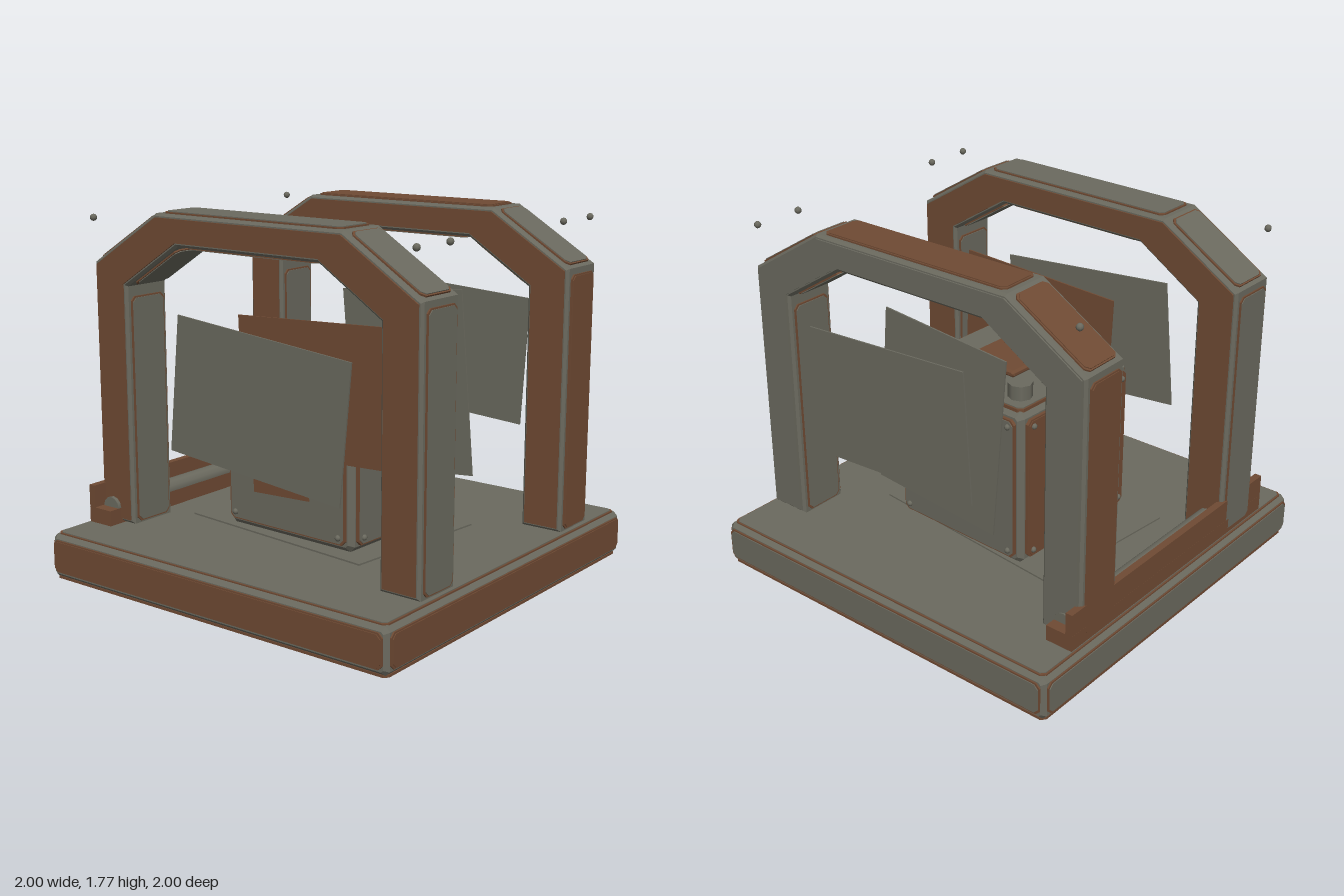
import * as THREE from 'three';

const mat = (name, color) => {
  const m = new THREE.MeshStandardMaterial({ color });
  m.name = name;
  return m;
};

export function createModel() {
  const grey = mat('grey metal', 0x6a695e);
  const brown = mat('rust brown', 0x6f4a33);
  const blue = mat('blue panel', 0x6486c4);
  const H = Math.PI / 2;
  const model = new THREE.Group();

  const add = (parent, name, geo, material, x = 0, y = 0, z = 0) => {
    const mesh = new THREE.Mesh(geo, material);
    mesh.name = name;
    mesh.position.set(x, y, z);
    parent.add(mesh);
    return mesh;
  };
  const box = (parent, name, w, h, d, material, x, y, z) =>
    add(parent, name, new THREE.BoxGeometry(w, h, d), material, x, y, z);

  // Rectangle with clipped corners
  const clipped = (w, h, c) => {
    const a = w / 2, b = h / 2;
    return new THREE.Shape([
      [a - c, -b], [a, c - b], [a, b - c], [a - c, b],
      [c - a, b], [-a, b - c], [-a, c - b], [c - a, -b],
    ].map(p => new THREE.Vector2(...p)));
  };
  const slab = (shape, depth) => new THREE.ExtrudeGeometry(shape, { depth, bevelEnabled: false });

  // Box with chamfered edges, centred
  const chamferBox = (w, h, d, c) => {
    const geo = new THREE.ExtrudeGeometry(clipped(w - 2 * c, h - 2 * c, c / 2), {
      depth: d - 2 * c, bevelThickness: c, bevelSize: c, bevelSegments: 1,
    });
    return geo.translate(0, 0, c - d / 2);
  };

  // Raised panel facing +z: brown backing with a coloured face
  const panel = (parent, name, w, h, face, pos, rot, t = 0.012) => {
    const g = new THREE.Group();
    g.name = name;
    add(g, name + 'Backing', slab(clipped(w, h, 0.02), t), brown);
    add(g, name + 'Face', slab(clipped(w - 0.015, h - 0.015, 0.02), 0.004), face, 0, 0, t);
    g.position.set(...pos);
    g.rotation.set(...rot);
    parent.add(g);
    return g;
  };

  // Base slab with a panel on every side
  const base = new THREE.Group();
  base.name = 'base';
  model.add(base);
  add(base, 'baseBody', chamferBox(1.98, 0.214, 1.98, 0.02), grey, 0, 0.117, 0);
  panel(base, 'basePanelFront', 1.94, 0.16, brown, [0, 0.12, 0.985], [0, 0, 0]);
  panel(base, 'basePanelRight', 1.94, 0.16, brown, [0.985, 0.12, 0], [0, H, 0]);
  panel(base, 'basePanelBack', 1.94, 0.16, grey, [0, 0.12, -0.985], [0, 2 * H, 0]);
  panel(base, 'basePanelLeft', 1.94, 0.16, grey, [-0.985, 0.12, 0], [0, -H, 0]);
  panel(base, 'basePanelTop', 1.94, 1.94, grey, [0, 0.218, 0], [-H, 0, 0]);
  panel(base, 'basePanelBottom', 1.96, 1.96, brown, [0, 0.016, 0], [H, 0, 0]);

  // Arch outline, narrowed all round by i
  const archShape = i => {
    const right = [
      [0.41 + 0.28 * i, 1.61 + i], [0.74 + i, 1.4 + 0.56 * i], [0.74 + i, 0.24 + i],
      [0.95 - i, 0.24 + i], [0.95 - i, 1.5 - 0.56 * i], [0.54 - 0.28 * i, 1.755 - i],
    ];
    const left = right.map(([x, y]) => [-x, y]).reverse();
    return new THREE.Shape([...right, ...left].map(p => new THREE.Vector2(...p)));
  };

  const makeArch = (name, z, turn, c) => {
    const arch = new THREE.Group();
    arch.name = name;
    const body = new THREE.ExtrudeGeometry(archShape(0.012), {
      depth: 0.236, bevelThickness: 0.012, bevelSize: 0.012, bevelSegments: 1,
    });
    add(arch, name + 'Body', body, grey, 0, 0, -0.118);
    add(arch, name + 'FrontFace', slab(archShape(0.018), 0.008), c.front, 0, 0, 0.129);
    add(arch, name + 'BackFace', slab(archShape(0.018), 0.008), c.back, 0, 0, -0.137);
    const strip = (part, len, face, x, y, a) =>
      panel(arch, part, 0.21, len, face, [x, y, 0], [0, H, a, 'ZYX'], 0.008);
    for (const s of [1, -1]) {
      const flip = a => (s > 0 ? a : Math.PI - a);
      const [side, slope] = s > 0 ? [c.right, c.rightSlope] : [c.left, c.leftSlope];
      strip('outerLegPanel', 1.22, side, s * 0.949, 0.86, flip(0));
      strip('outerSlopePanel', 0.44, slope, s * 0.745, 1.627, flip(1.02));
      strip('innerLegPanel', 1.1, grey, s * 0.741, 0.8, flip(Math.PI));
      strip('innerSlopePanel', 0.34, grey, s * 0.575, 1.506, flip(1.005 + Math.PI));
    }
    strip('topPanel', 1.03, c.top, 0, 1.754, H);
    strip('innerTopPanel', 0.76, grey, 0, 1.611, -H);
    arch.position.z = z;
    arch.rotation.y = turn;
    model.add(arch);
  };
  makeArch('frontArch', 0.565, -0.012, {
    front: brown, back: brown, right: grey, left: grey, rightSlope: grey, leftSlope: grey, top: grey,
  });
  makeArch('backArch', -0.575, 0.012, {
    front: brown, back: grey, right: brown, left: brown, rightSlope: grey, leftSlope: brown, top: brown,
  });

  // Central machine box
  const core = new THREE.Group();
  core.name = 'coreBox';
  core.rotation.y = -0.035;
  core.position.x = -0.01;
  model.add(core);
  add(core, 'coreBody', chamferBox(0.77, 0.79, 0.77, 0.025), grey, 0, 0.635, 0);
  ['Front', 'Right', 'Back', 'Left'].forEach((side, k) => {
    const g = new THREE.Group();
    g.name = 'core' + side;
    g.rotation.y = k * H;
    core.add(g);
    panel(g, 'sidePanel', 0.71, 0.72, side === 'Left' ? brown : grey, [0, 0.635, 0.383], [0, 0, 0], 0.018);
    add(g, 'bluePanel', slab(clipped(0.38, 0.27, 0.015), 0.02), blue, 0, 0.635, 0.402);
    for (const x of [-0.32, 0.32]) for (const y of [0.31, 0.96])
      add(g, 'rivet', new THREE.SphereGeometry(0.015, 8, 6), grey, x, y, 0.405);
    if (k === 0) box(g, 'frontPatch', 0.34, 0.24, 0.006, brown, -0.01, 0.57, 0.427).rotation.z = 0.05;
    if (k === 1) box(g, 'rightPatch', 0.25, 0.25, 0.006, grey, 0.01, 0.575, 0.427).rotation.z = 0.11;
  });
  panel(core, 'lidPanel', 0.73, 0.73, grey, [0, 1.025, 0], [-H, 0, 0], 0.016);
  add(core, 'topPlate', chamferBox(0.3, 0.035, 0.3, 0.01), brown, 0.01, 1.068, -0.01);
  for (const x of [-0.27, 0.28]) for (const z of [-0.26, 0.25])
    add(core, 'topKnob', new THREE.CylinderGeometry(0.058, 0.058, 0.07, 8), grey, x, 1.08, z);

  // Loose thin sheets: name, width, height, colour, x, y, z, tilt
  [
    ['frontOuterSheet', 0.99, 0.645, grey, 0.075, 0.94, 0.712, -0.097],
    ['frontInnerSheet', 0.91, 0.64, brown, 0.19, 0.98, 0.425, 0.04],
    ['backInnerSheet', 0.72, 0.92, grey, 0.07, 0.867, -0.437, 0.087],
    ['backOuterSheet', 0.93, 0.64, grey, 0.115, 1.005, -0.722, -0.06],
  ].forEach(([name, w, h, m, x, y, z, tilt]) => {
    box(model, name, w, h, 0.008, m, x, y, z).rotation.z = tilt;
  });
  box(model, 'floorSheet', 1.11, 0.008, 0.8, grey, -0.045, 0.238, 0.03).rotation.y = -0.1;

  // Rail along one side, with a pipe lying in it
  box(model, 'railWall', 0.035, 0.19, 1.53, brown, -0.942, 0.325, 0);
  box(model, 'railFoot', 0.14, 0.08, 1.53, brown, -0.89, 0.27, 0);
  add(model, 'railPipe', new THREE.CylinderGeometry(0.05, 0.05, 1.42, 12), grey, -0.87, 0.31, 0).rotation.x = H;

  // Small bolts beside the arch shoulders
  [[0.91, 0.7], [0.91, 0.46], [0.91, -0.47], [0.91, -0.72], [-0.91, 0.72], [-0.91, -0.69]].forEach(([x, z]) =>
    add(model, 'shoulderBolt', new THREE.SphereGeometry(0.017, 8, 6), grey, x, 1.715, z));

  return model;
}
